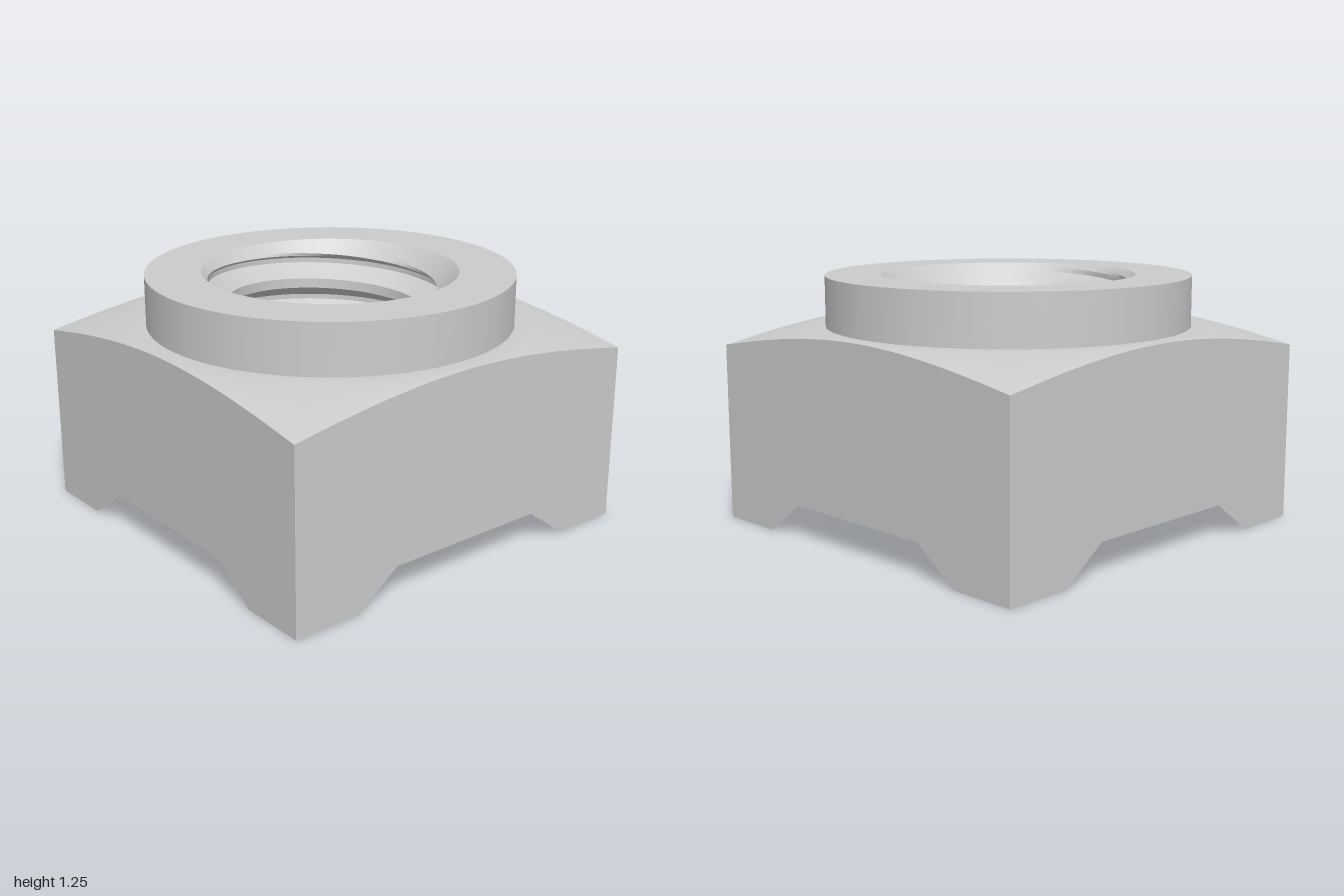
import * as THREE from 'three';
import { toCreasedNormals } from 'three/addons/utils/BufferGeometryUtils.js';
import { ConvexGeometry } from 'three/addons/geometries/ConvexGeometry.js';

const TOP = 1.25, SHOULDER = 1, BASE = 0.165;
const COLLAR_R = 0.905, MOUTH_R = 0.63;
const MINOR_R = 0.495, MAJOR_R = 0.6, PITCH = 0.2;
const SEGMENTS = 128;

// Sweeps a profile of `rows` points around the y axis; point(angle, row) gives [radius, y].
function sweep(rows, point) {
  const positions = [], index = [];
  for (let i = 0; i <= SEGMENTS; i++) {
    const a = (i / SEGMENTS) * Math.PI * 2;
    for (let j = 0; j < rows; j++) {
      const [r, y] = point(a, j);
      positions.push(r * Math.cos(a), y, -r * Math.sin(a));
      if (i < SEGMENTS && j < rows - 1) {
        const p = i * rows + j, q = p + rows;
        index.push(p, p + 1, q, p + 1, q + 1, q);
      }
    }
  }
  const geometry = new THREE.BufferGeometry();
  geometry.setAttribute('position', new THREE.Float32BufferAttribute(positions, 3));
  geometry.setIndex(index);
  return toCreasedNormals(geometry, 0.45);
}

// Round collar, conically chamfered top, square sides and flat underside
function bodyGeometry() {
  return sweep(7, (a, row) => {
    const square = 1 / Math.max(Math.abs(Math.cos(a)), Math.abs(Math.sin(a)));
    const edgeY = SHOULDER - 0.265 * (square - 1);
    return [
      [MOUTH_R, TOP], [COLLAR_R, TOP], [COLLAR_R, SHOULDER], [1, SHOULDER],
      [square, edgeY], [square, BASE], [MOUTH_R, BASE],
    ][row];
  });
}

// Right-hand thread: rows follow the helix, and both mouths are countersunk at 45 degrees
function boreGeometry() {
  const turn = [];
  const flat = 0.0125, flank = 0.0625;
  for (let k = 0; k <= 4; k++) turn.push([-flat - flank * (1 - k / 4), MINOR_R + (MAJOR_R - MINOR_R) * k / 4]);
  for (let k = 0; k <= 4; k++) turn.push([flat + flank * k / 4, MAJOR_R - (MAJOR_R - MINOR_R) * k / 4]);
  const turns = 9;
  const n = turn.length;
  return sweep(turns * n, (a, row) => {
    const [offset, threadR] = turn[row % n];
    const rootY = 1.11 + PITCH * (a / (Math.PI * 2) + Math.floor(row / n) - 7);
    const y = THREE.MathUtils.clamp(rootY + offset, BASE, TOP);
    const countersink = MOUTH_R - Math.min(TOP - y, y - BASE);
    return [Math.max(threadR, countersink), y];
  });
}

// Tapered triangular foot in the +x, +z corner, mirrored by sx and sz
function footGeometry(sx, sz) {
  const points = [];
  for (const [leg, y] of [[0.57, BASE], [0.34, 0]]) {
    for (const [x, z] of [[1, 1], [1 - leg, 1], [1, 1 - leg]]) {
      points.push(new THREE.Vector3(x * sx, y, z * sz));
    }
  }
  return new ConvexGeometry(points);
}

export function createModel() {
  const model = new THREE.Group();
  model.name = 'squareWeldNut';
  const material = new THREE.MeshStandardMaterial({ color: 0xcccccc });

  const add = (name, geometry) => {
    const mesh = new THREE.Mesh(geometry, material);
    mesh.name = name;
    model.add(mesh);
  };

  add('body', bodyGeometry());
  add('threadedBore', boreGeometry());
  for (const [side, sx] of [['Left', 1], ['Right', -1]]) {
    for (const [end, sz] of [['front', 1], ['back', -1]]) {
      add(`${end}${side}Foot`, footGeometry(sx, sz));
    }
  }
  return model;
}
